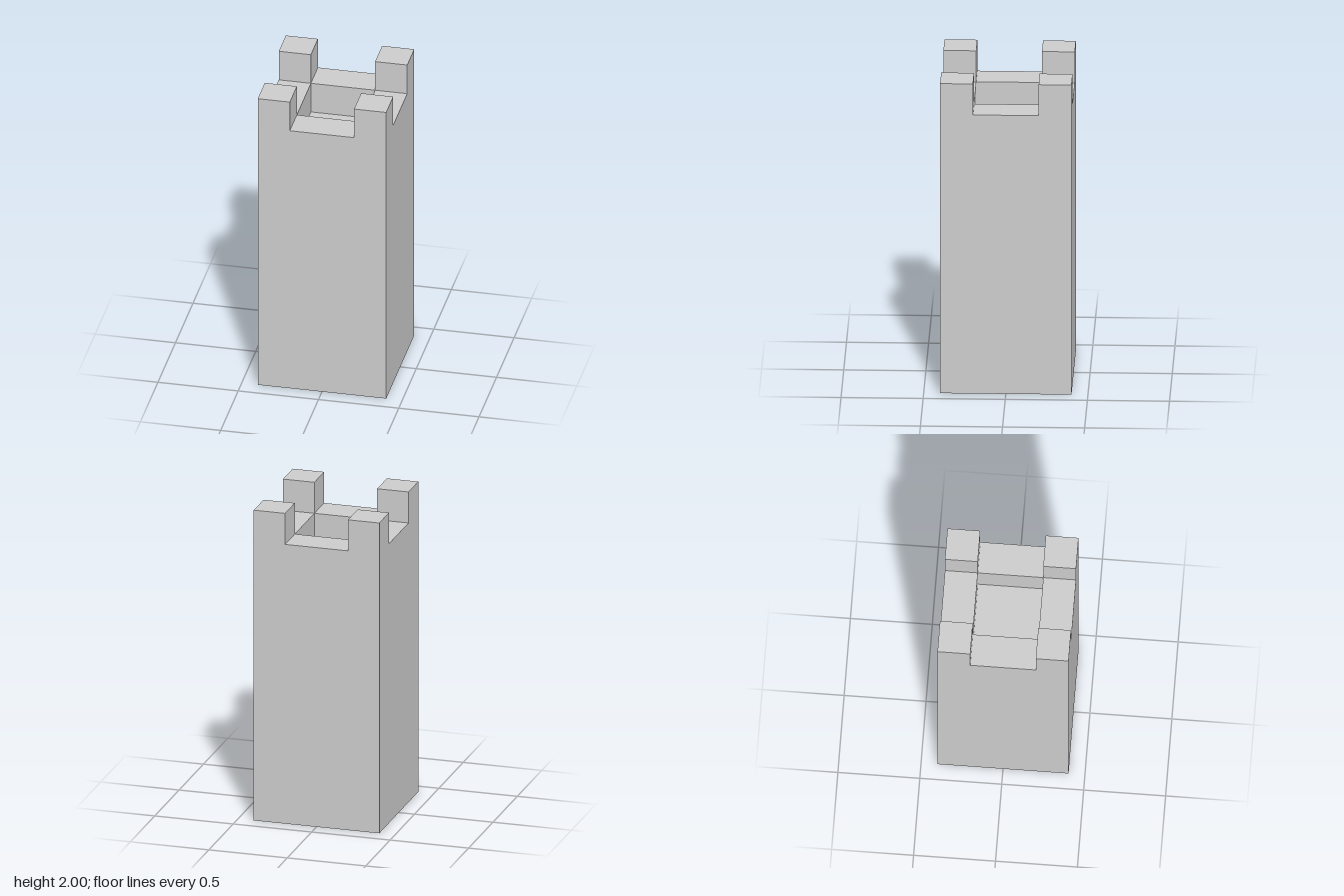
import * as THREE from 'three';

export function createModel() {
  const model = new THREE.Group();
  model.name = 'castleTower';
  const stone = new THREE.MeshStandardMaterial({ color: 0xcccccc, flatShading: true });

  const half = 0.4;      // half width of the tower
  const inner = 0.2;     // half width of the recess in the top
  const wallTop = 1.8;
  const floorY = 1.6;    // floor of the recess
  const merlonSize = 0.2;

  // Square shaft with a sunken roof: a four-sided lathe, radii measured to the corners
  const profile = [
    [0, 0], [half, 0], [half, wallTop], [inner, wallTop], [inner, floorY], [0, floorY],
  ].map(([r, y]) => new THREE.Vector2(r * Math.SQRT2, y));
  const shaft = new THREE.Mesh(new THREE.LatheGeometry(profile, 4, Math.PI / 4), stone);
  shaft.name = 'shaft';
  model.add(shaft);

  // One merlon on each corner
  const merlonGeometry = new THREE.BoxGeometry(merlonSize, merlonSize, merlonSize);
  const offset = half - merlonSize / 2;
  for (const [xName, sx] of [['Left', 1], ['Right', -1]]) {
    for (const [zName, sz] of [['front', 1], ['back', -1]]) {
      const merlon = new THREE.Mesh(merlonGeometry, stone);
      merlon.name = `${zName}${xName}Merlon`;
      merlon.position.set(sx * offset, wallTop + merlonSize / 2, sz * offset);
      model.add(merlon);
    }
  }
  return model;
}
